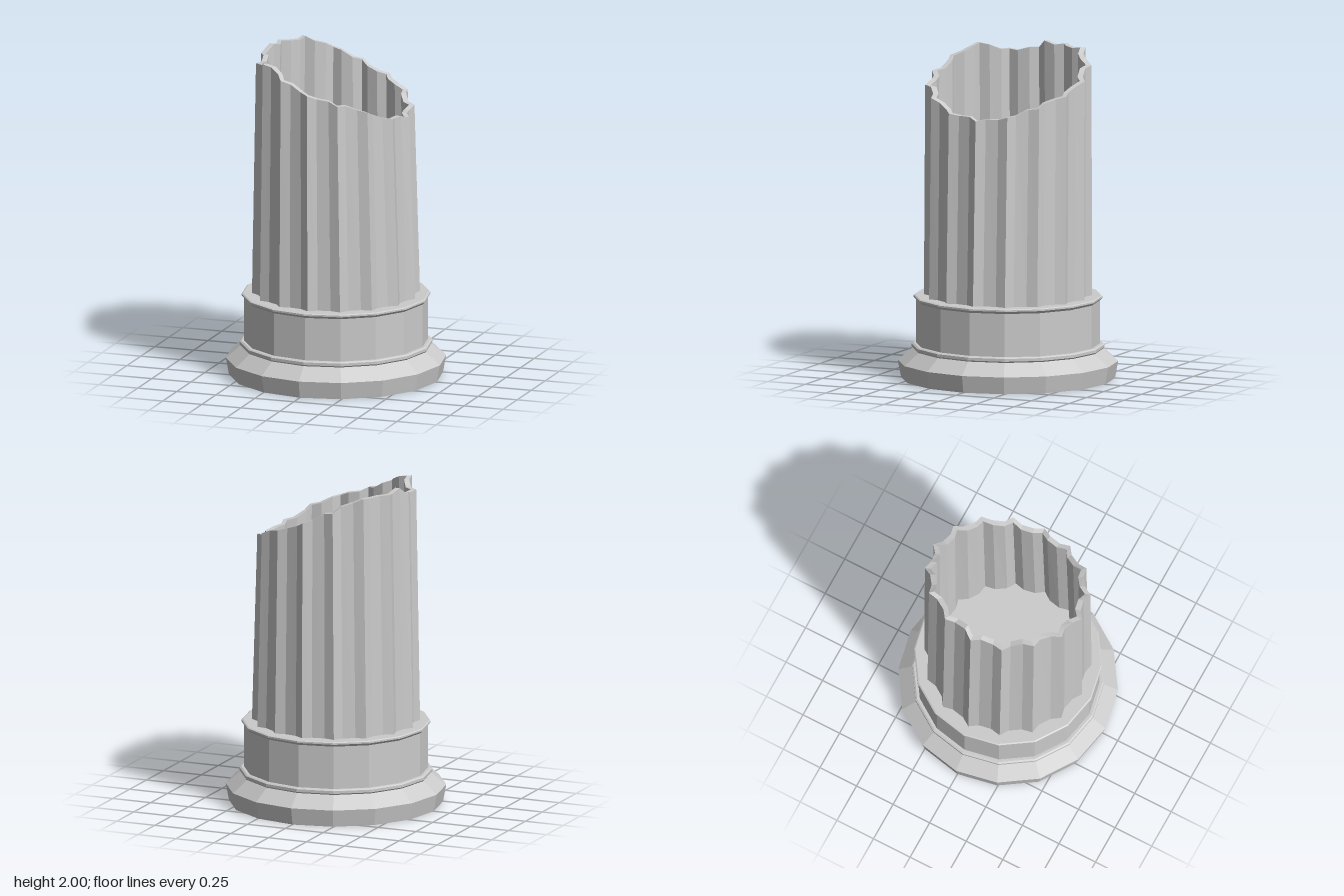
import * as THREE from 'three';

const FLUTES = 16;
const BASE_TOP = 0.505;

// Broken rim height at each ridge, going round from +x towards +z
const RIDGE_HEIGHTS = [1.63, 1.66, 1.73, 1.78, 1.84, 1.91, 1.975, 1.935,
  1.95, 1.99, 1.99, 1.91, 1.84, 1.77, 1.71, 1.66];

const material = new THREE.MeshStandardMaterial({
  color: 0xcccccc, flatShading: true, side: THREE.DoubleSide,
});

// Stepped sixteen-sided base, closed above and below
function createBase() {
  const profile = [
    [0, 0], [0.645, 0], [0.648, 0.015], [0.665, 0.105], [0.575, 0.18],
    [0.582, 0.188], [0.582, 0.205], [0.572, 0.212], [0.555, 0.212],
    [0.555, 0.475], [0.57, 0.49], [0.57, 0.5], [0.562, BASE_TOP], [0, BASE_TOP],
  ].map(([r, y]) => new THREE.Vector2(r, y));
  const base = new THREE.Mesh(new THREE.LatheGeometry(profile, FLUTES), material);
  base.name = 'base';
  return base;
}

// Points round the fluted section: a ridge, then the two sides of a flat valley
function sectionPoints() {
  const points = [];
  for (let k = 0; k < FLUTES; k++) {
    const h0 = RIDGE_HEIGHTS[k];
    const h1 = RIDGE_HEIGHTS[(k + 1) % FLUTES];
    [0, 0.3, 0.72].forEach((t, i) => {
      const chip = i === 0 ? 0 : 0.01 * Math.sin(k * 2.3 + i * 1.7);
      points.push({
        angle: ((k + t) / FLUTES) * Math.PI * 2,
        radius: i === 0 ? 0.507 : 0.474,
        height: Math.min(2, h0 + (h1 - h0) * t + chip),
      });
    });
  }
  points[25].height = 2; // highest splinter
  return points;
}

// Hollow fluted shaft, built from four loops: outside up, over the rim, inside down
function createShaft() {
  const section = sectionPoints();
  const n = section.length;
  const loops = [
    { inset: 0, top: false }, { inset: 0, top: true },
    { inset: 0.034, top: true }, { inset: 0.034, top: false },
  ];
  const positions = [];
  const indices = [];
  for (const { inset, top } of loops) {
    for (const p of section) {
      const x = Math.cos(p.angle) * (p.radius - inset);
      const z = Math.sin(p.angle) * (p.radius - inset);
      positions.push(top ? x * 0.935 - 0.005 : x, top ? p.height : BASE_TOP - 0.01, z);
    }
  }
  for (let i = 0; i < loops.length - 1; i++) {
    for (let j = 0; j < n; j++) {
      const a = i * n + j;
      const b = i * n + ((j + 1) % n);
      indices.push(a, a + n, b + n, a, b + n, b);
    }
  }
  const geometry = new THREE.BufferGeometry();
  geometry.setAttribute('position', new THREE.Float32BufferAttribute(positions, 3));
  geometry.setIndex(indices);
  geometry.computeVertexNormals();
  const shaft = new THREE.Mesh(geometry, material);
  shaft.name = 'brokenFlutedShaft';
  return shaft;
}

export function createModel() {
  const column = new THREE.Group();
  column.name = 'brokenColumn';
  column.add(createBase(), createShaft());
  return column;
}
